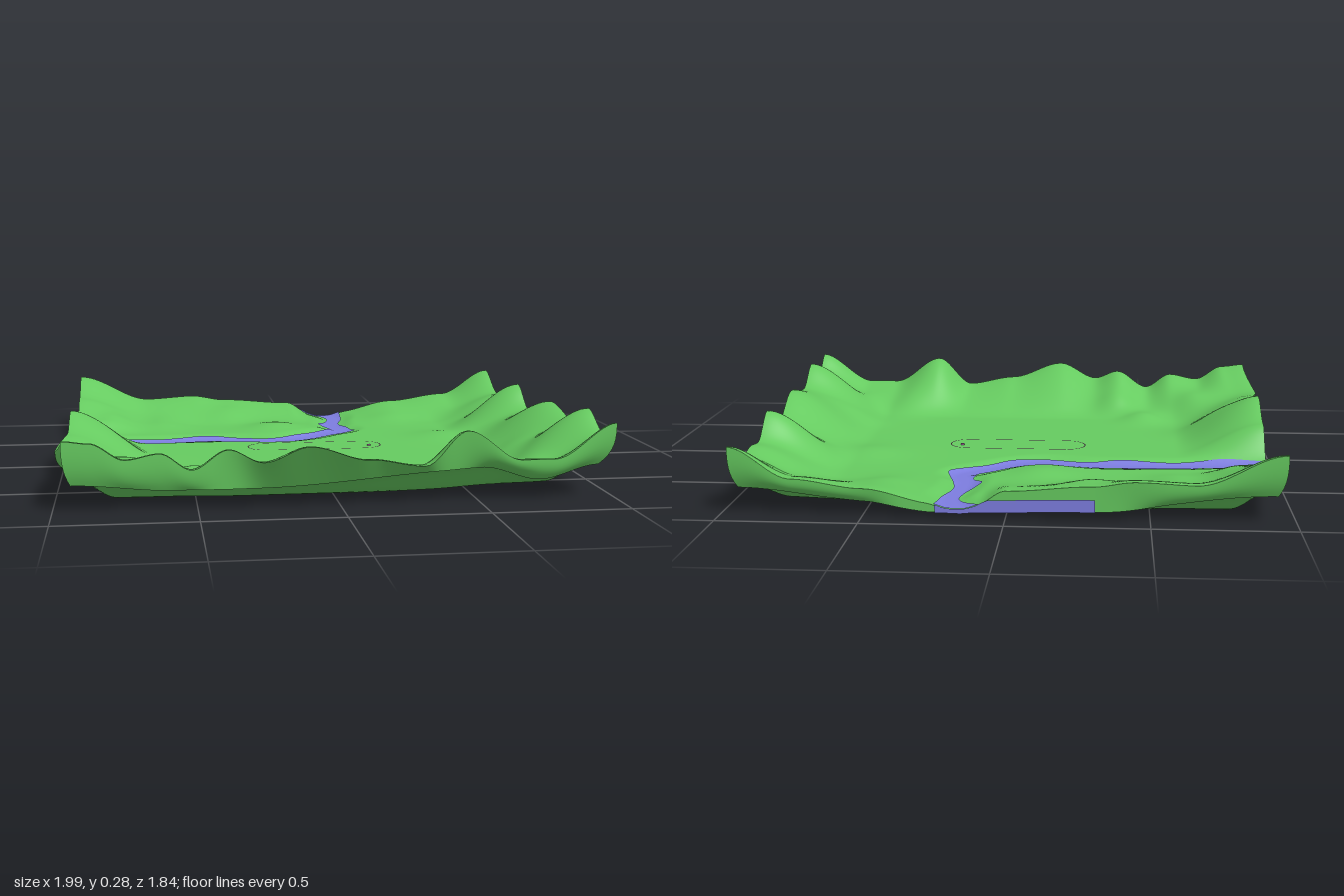
import * as THREE from 'three';

const { lerp, smoothstep } = THREE.MathUtils;

const material = (name, color, side = THREE.FrontSide) => {
  const m = new THREE.MeshStandardMaterial({ color, side });
  m.name = name;
  return m;
};

// Smooth interpolation through [position, value] pairs
const profile = (pts) => (s) => {
  if (s <= pts[0][0]) return pts[0][1];
  for (let i = 1; i < pts.length; i++) {
    const [a, va] = pts[i - 1], [b, vb] = pts[i];
    if (s <= b) return lerp(va, vb, smoothstep(s, a, b));
  }
  return pts[pts.length - 1][1];
};

const X0 = -0.965, X1 = 0.97, Z0 = -0.915, Z1 = 0.825;
const edgeDistance = (x, z) => Math.min(x - X0, X1 - x, z - Z0, Z1 - z);

// Hill crests along the four edges
const crest = {
  front: profile([[X0, 0.26], [-0.87, 0.25], [-0.75, 0.19], [-0.63, 0.21], [-0.52, 0.15], [-0.39, 0.22],
    [-0.28, 0.18], [-0.12, 0.24], [0.1, 0.18], [0.3, 0.15], [0.45, 0.27], [0.65, 0.16], [0.77, 0.16], [X1, 0.285]]),
  back: profile([[X0, 0.25], [-0.66, 0.14], [-0.45, 0.15], [-0.3, 0.13], [0, 0.11], [0.1, 0.06],
    [0.24, 0.06], [0.5, 0.11], [0.75, 0.14], [X1, 0.25]]),
  left: profile([[Z0, 0.25], [-0.7, 0.18], [-0.5, 0.12], [-0.4, 0.07], [-0.25, 0.06], [-0.1, 0.18],
    [0.1, 0.25], [0.35, 0.2], [0.57, 0.18], [Z1, 0.26]]),
  right: profile([[Z0, 0.25], [-0.7, 0.17], [-0.6, 0.18], [-0.5, 0.17], [-0.35, 0.26], [-0.18, 0.17],
    [0.1, 0.25], [0.36, 0.21], [0.53, 0.29], [0.7, 0.22], [Z1, 0.285]]),
};

// Lower rims of the side walls
const rim = {
  front: profile([[X0, 0.1], [-0.6, 0.075], [-0.3, 0.08], [0.53, 0.13], [0.75, 0.08], [X1, 0.13]]),
  back: profile([[X0, 0.1], [-0.3, 0.04], [0.24, 0.03], [0.5, 0.06], [X1, 0.1]]),
  left: profile([[Z0, 0.1], [-0.4, 0.05], [-0.2, 0.05], [0.37, 0.1], [Z1, 0.1]]),
  right: profile([[Z0, 0.1], [-0.7, 0.07], [-0.45, 0.07], [0.37, 0.12], [Z1, 0.13]]),
};

// Outward lean of the crests
const lean = {
  front: profile([[-0.45, 0], [-0.12, 0.095], [0.15, 0.045], [0.4, 0.02], [X1, 0.008]]),
  back: profile([[-0.6, 0], [-0.45, 0.006], [-0.3, 0]]),
  left: profile([[0.3, 0], [0.57, 0.035], [0.78, 0]]),
  right: profile([[-0.3, 0], [0.3, 0.02], [Z1, 0.025]]),
};

// Blend four edge profiles into a surface that relaxes to a base level
function blendEdges(edges, base, x, z, depth) {
  const fall = (d) => 1 - smoothstep(d, 0, depth);
  const sideX = x < 0 ? edges.left : edges.right, sideZ = z < 0 ? edges.back : edges.front;
  const wx = fall(x < 0 ? x - X0 : X1 - x), wz = fall(z < 0 ? z - Z0 : Z1 - z);
  const corner = sideZ(x < 0 ? X0 : X1);
  return base + (sideX(z) - base) * wx + (sideZ(x) - base) * wz - (corner - base) * wx * wz;
}

// River banks
const curve = (pts) => new THREE.CatmullRomCurve3(pts.map(([x, z]) => new THREE.Vector3(x, 0, z)));
const northBank = curve([[X0, -0.41], [-0.84, -0.34], [-0.6, -0.335], [-0.4, -0.36], [-0.28, -0.335], [-0.12, -0.305],
  [-0.02, -0.35], [0.08, -0.43], [0.15, -0.51], [0.11, -0.6], [0.16, -0.72], [0.17, -0.81], [0.09, Z0]]);
const southBank = curve([[X0, -0.24], [-0.78, -0.215], [-0.6, -0.24], [-0.4, -0.23], [-0.28, -0.245], [-0.1, -0.215],
  [0.02, -0.245], [0.12, -0.33], [0.25, -0.43], [0.24, -0.5], [0.21, -0.65], [0.24, -0.78], [0.25, Z0]]);
const riverPoint = (u, v) => northBank.getPoint(u).lerp(southBank.getPoint(u), v);
const riverLine = Array.from({ length: 90 }, (_, i) => riverPoint(i / 89, 0.5));

// Inner knolls: x, z, height, radius
const knolls = [[-0.72, 0.58, 0.05, 0.1], [-0.5, 0.48, 0.035, 0.09], [-0.38, 0.6, 0.03, 0.08], [-0.75, 0.2, 0.025, 0.12],
  [0.55, 0.58, 0.025, 0.1], [0.75, 0.35, 0.02, 0.1], [0.6, -0.2, 0.02, 0.13], [0.45, -0.65, 0.015, 0.1],
  [-0.6, -0.6, 0.025, 0.12], [-0.3, -0.7, 0.02, 0.1], [-0.1, -0.5, 0.025, 0.12], [-0.8, -0.55, 0.02, 0.08]];

function height(x, z) {
  let y = blendEdges(crest, 0.06, x, z, 0.34);
  const inside = smoothstep(edgeDistance(x, z), 0, 0.15);
  for (const [kx, kz, h, r] of knolls) y += inside * h * Math.exp(-((x - kx) ** 2 + (z - kz) ** 2) / (r * r));
  let d = 1;
  for (const p of riverLine) d = Math.min(d, Math.hypot(x - p.x, z - p.z));
  return y - 0.02 * (1 - smoothstep(d, 0.02, 0.1));
}

function ground(x, z, lift = 0) {
  const near = (d) => 1 - smoothstep(d, 0, 0.25);
  return new THREE.Vector3(
    x + lean.right(z) * near(X1 - x) - lean.left(z) * near(x - X0),
    height(x, z) + lift,
    z + lean.front(x) * near(Z1 - z) - lean.back(x) * near(z - Z0));
}

// The four corners roll under, the middle of each side is a plain wall
const cornerRoll = (x, z) => smoothstep(Math.min(Math.abs(x), Math.abs(z)), 0.35, 0.6);

// Underside sheet rising to the rims
function under(x, z) {
  const floor = 0.016 + 0.02 * smoothstep(x, 0.1, 0.95) + 0.008 * z;
  let y = blendEdges(rim, floor, x, z, 0.16);
  if (edgeDistance(x, z) < 0.12) y = Math.min(y, height(x, z) - 0.012);
  const tuck = 1 - 0.03 * cornerRoll(x, z);
  return new THREE.Vector3(x * tuck, Math.max(0, y), z * tuck);
}

// Grid surface from a rule (u to the right, v downward, facing the viewer)
function sheet(fn, nu, nv) {
  const g = new THREE.PlaneGeometry(1, 1, nu, nv), p = g.attributes.position;
  for (let i = 0; i < p.count; i++) {
    const q = fn(p.getX(i) + 0.5, 0.5 - p.getY(i));
    p.setXYZ(i, q.x, q.y, q.z);
  }
  g.computeVertexNormals();
  return g;
}

export function createModel() {
  const model = new THREE.Group();
  const grass = material('grass green', 0x66cb60, THREE.DoubleSide);
  const water = material('river blue', 0x7d7de0, THREE.DoubleSide);
  const pink = material('track purple', 0xb070a8);
  const add = (name, geometry, mat) => {
    const mesh = new THREE.Mesh(geometry, mat);
    mesh.name = name;
    model.add(mesh);
    return mesh;
  };
  const mx = (u) => lerp(X0, X1, u), mz = (v) => lerp(Z0, Z1, v);

  // Rolling land and its underside
  add('terrain', sheet((u, v) => ground(mx(u), mz(v)), 150, 136), grass);
  add('underside', sheet((u, v) => under(mx(1 - u), mz(v)), 120, 108), grass);

  // Side walls joining crest to rim
  const sides = {
    front: (u) => [mx(u), Z1], right: (u) => [X1, mz(1 - u)],
    back: (u) => [mx(1 - u), Z0], left: (u) => [X0, mz(u)],
  };
  for (const [name, edge] of Object.entries(sides)) {
    add(name + 'Wall', sheet((u, v) => {
      const [x, z] = edge(u);
      const top = ground(x, z), low = under(x, z);
      const t = lerp(v, v * v * v, cornerRoll(x, z));
      return new THREE.Vector3(lerp(top.x, low.x, t), lerp(top.y, low.y, v), lerp(top.z, low.z, t));
    }, 120, 8), grass);
  }

  // River ribbon and the water showing on the back wall
  add('river', sheet((u, v) => {
    const p = riverPoint(u, v);
    return ground(p.x, p.z, 0.005);
  }, 160, 10), water);
  add('riverBackFace', sheet((u, v) => {
    const x = 0.245 - 0.555 * u;
    const low = under(x, Z0).y;
    return new THREE.Vector3(x, lerp(Math.min(low + 0.045, height(x, Z0) + 0.005), low, v), Z0 - 0.006);
  }, 30, 1), water);

  // Thin stadium-shaped track outline
  const stadium = (Type, r) => {
    const s = new Type();
    s.absarc(0.215, 0, r, -Math.PI / 2, Math.PI / 2, false);
    s.absarc(-0.18, 0, r, Math.PI / 2, Math.PI * 1.5, false);
    s.closePath();
    return s;
  };
  const outline = stadium(THREE.Shape, 0.079);
  outline.holes.push(stadium(THREE.Path, 0.0745));
  const track = add('trackOutline', new THREE.ShapeGeometry(outline, 20), pink);
  track.rotation.x = -Math.PI / 2;
  track.position.set(0, 0.066, -0.028);
  const marker = add('trackMarker', new THREE.BoxGeometry(0.014, 0.006, 0.006), pink);
  marker.position.set(0.245, 0.064, -0.03);

  return model;
}
